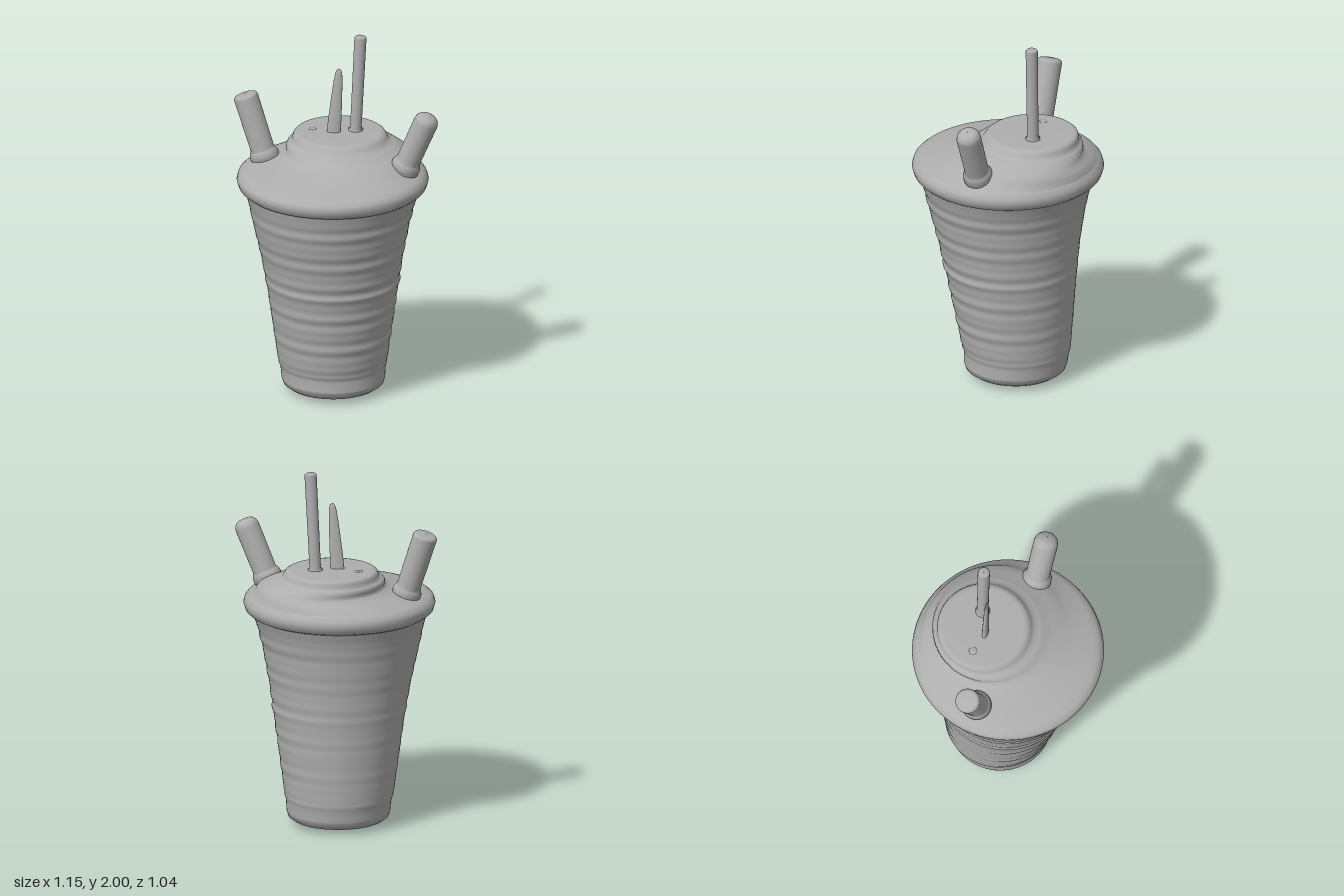
import * as THREE from 'three';

const grey = new THREE.MeshStandardMaterial({ color: 0xaeaeae });
grey.name = 'plain grey';
const SIDES = 72;

// Lofts round sections [y, radius, centreX, centreZ], low to high
function loft(name, stations, step = 1, ripple = null) {
  const rows = [];
  stations.forEach((s, i) => {
    rows.push(s);
    const n = stations[i + 1];
    if (!n) return;
    const count = Math.floor((n[0] - s[0]) / step);
    for (let k = 1; k < count; k++) rows.push(s.map((v, q) => v + (n[q] - v) * k / count));
  });
  const pos = [], index = [];
  rows.forEach(([y, r, cx, cz], i) => {
    for (let j = 0; j < SIDES; j++) {
      const a = j / SIDES * Math.PI * 2;
      const rr = r + (ripple ? ripple(y, a) : 0);
      pos.push(cx + rr * Math.cos(a), y, cz + rr * Math.sin(a));
      if (i === rows.length - 1) continue;
      const p = i * SIDES + j, q = i * SIDES + (j + 1) % SIDES;
      index.push(p, p + SIDES, q, q, p + SIDES, q + SIDES);
    }
  });
  const geo = new THREE.BufferGeometry();
  geo.setAttribute('position', new THREE.Float32BufferAttribute(pos, 3));
  geo.setIndex(index);
  geo.computeVertexNormals();
  const mesh = new THREE.Mesh(geo, grey);
  mesh.name = name;
  return mesh;
}

// Lathed rod standing on `from` and pointing to `to`; profile is [radius, height]
function rod(name, from, to, makeProfile) {
  const a = new THREE.Vector3(...from), b = new THREE.Vector3(...to);
  const dir = b.clone().sub(a);
  const profile = makeProfile(dir.length()).map(p => new THREE.Vector2(...p));
  const mesh = new THREE.Mesh(new THREE.LatheGeometry(profile, 32), grey);
  mesh.position.copy(a);
  mesh.quaternion.setFromUnitVectors(new THREE.Vector3(0, 1, 0), dir.normalize());
  mesh.name = name;
  return mesh;
}

export function createModel() {
  const model = new THREE.Group();
  model.name = 'lidded cup';

  // Tapered cup wall with faint uneven ridges, calmer at the back right
  const ridges = (y, a) => {
    if (y < 0.17 || y > 1.14) return 0;
    const strength = 0.6 + 0.4 * Math.cos(a - 0.8);
    const waves = 0.0022 * Math.sin(y * 62) + 0.0018 * Math.sin(y * 97 + 1);
    const band = 0.005 * Math.exp(-(((y - 0.655) / 0.014) ** 2));
    return strength * (waves + band);
  };
  model.add(loft('cupWall', [
    [0.075, 0.281, -0.03, -0.042], [0.12, 0.284, -0.032, -0.045],
    [0.145, 0.287, -0.034, -0.047], [0.165, 0.295, -0.034, -0.045],
    [0.2, 0.299, -0.034, -0.042], [0.6, 0.354, -0.026, -0.018],
    [0.8, 0.386, -0.025, -0.004], [1.0, 0.427, -0.025, 0.008],
    [1.12, 0.455, -0.022, 0.007], [1.19, 0.478, -0.02, 0.003],
  ], 0.01, ridges));

  // Softly domed underside
  model.add(loft('cupBase', [
    [0, 0.001, -0.03, -0.042], [0.004, 0.1, -0.03, -0.042], [0.014, 0.19, -0.03, -0.042],
    [0.03, 0.247, -0.03, -0.042], [0.048, 0.272, -0.03, -0.042], [0.075, 0.281, -0.03, -0.042],
  ]));

  // Rolled rim
  model.add(loft('rim', [
    [1.175, 0.468, -0.02, 0], [1.185, 0.49, -0.02, 0], [1.203, 0.51, -0.02, 0],
    [1.235, 0.52, -0.02, 0], [1.26, 0.513, -0.02, 0], [1.28, 0.494, -0.018, -0.005],
    [1.29, 0.47, -0.014, -0.02],
  ]));

  // Stepped lid, its centre drifting towards the back
  model.add(loft('lid', [
    [1.288, 0.474, -0.014, -0.018], [1.3, 0.448, -0.008, -0.038], [1.318, 0.408, 0.005, -0.07],
    [1.335, 0.374, 0.025, -0.09], [1.352, 0.346, 0.035, -0.1], [1.368, 0.325, 0.022, -0.112],
    [1.378, 0.316, 0.008, -0.118], [1.395, 0.298, -0.01, -0.125], [1.405, 0.286, -0.015, -0.127],
    [1.409, 0.265, -0.02, -0.135], [1.43, 0.257, -0.025, -0.14], [1.445, 0.249, -0.028, -0.143],
    [1.453, 0.238, -0.03, -0.145], [1.456, 0.22, -0.03, -0.145], [1.457, 0.001, -0.03, -0.145],
  ]));

  // Two stubs leaning outwards, with a collar at the root
  const stub = round => h => [
    [0.001, -0.04], [0.078, -0.04], [0.08, 0.02], [0.072, 0.04], [0.065, 0.05], [0.067, h - round],
    ...[30, 55, 75, 90].map(d => {
      const t = d * Math.PI / 180;
      return [0.067 - round + round * Math.cos(t), h - round + round * Math.sin(t)];
    }), [0.001, h + 0.004],
  ];
  model.add(rod('rightStub', [-0.405, 1.315, 0.003], [-0.52, 1.663, 0], stub(0.018)));
  model.add(rod('leftStub', [0.384, 1.335, -0.026], [0.52, 1.653, -0.03], stub(0.045)));

  // Straw with a small collar
  model.add(rod('straw', [0.049, 1.45, -0.187], [0.075, 1.998, -0.193], h => [
    [0.001, -0.02], [0.04, -0.02], [0.04, 0.012], [0.031, 0.018], [0.033, h - 0.008],
    [0.027, h], [0.001, h],
  ]));

  // Flat tapering stirrer
  const stirrer = rod('stirrer', [0, 0, 0], [0, 1, 0], () => [
    [0.038, -0.02], [0.036, 0.08], [0.03, 0.2], [0.024, 0.3], [0.019, 0.345], [0.012, 0.365], [0.001, 0.372],
  ]);
  stirrer.scale.z = 0.45;
  stirrer.rotation.set(0, 0.2, -0.08);
  stirrer.position.set(-0.054, 1.453, -0.12);
  model.add(stirrer);

  // Small button on the lid
  const button = new THREE.Mesh(new THREE.SphereGeometry(0.022, 20, 12), grey);
  button.scale.y = 0.25;
  button.position.set(-0.18, 1.456, -0.132);
  button.name = 'lidButton';
  model.add(button);

  return model;
}
